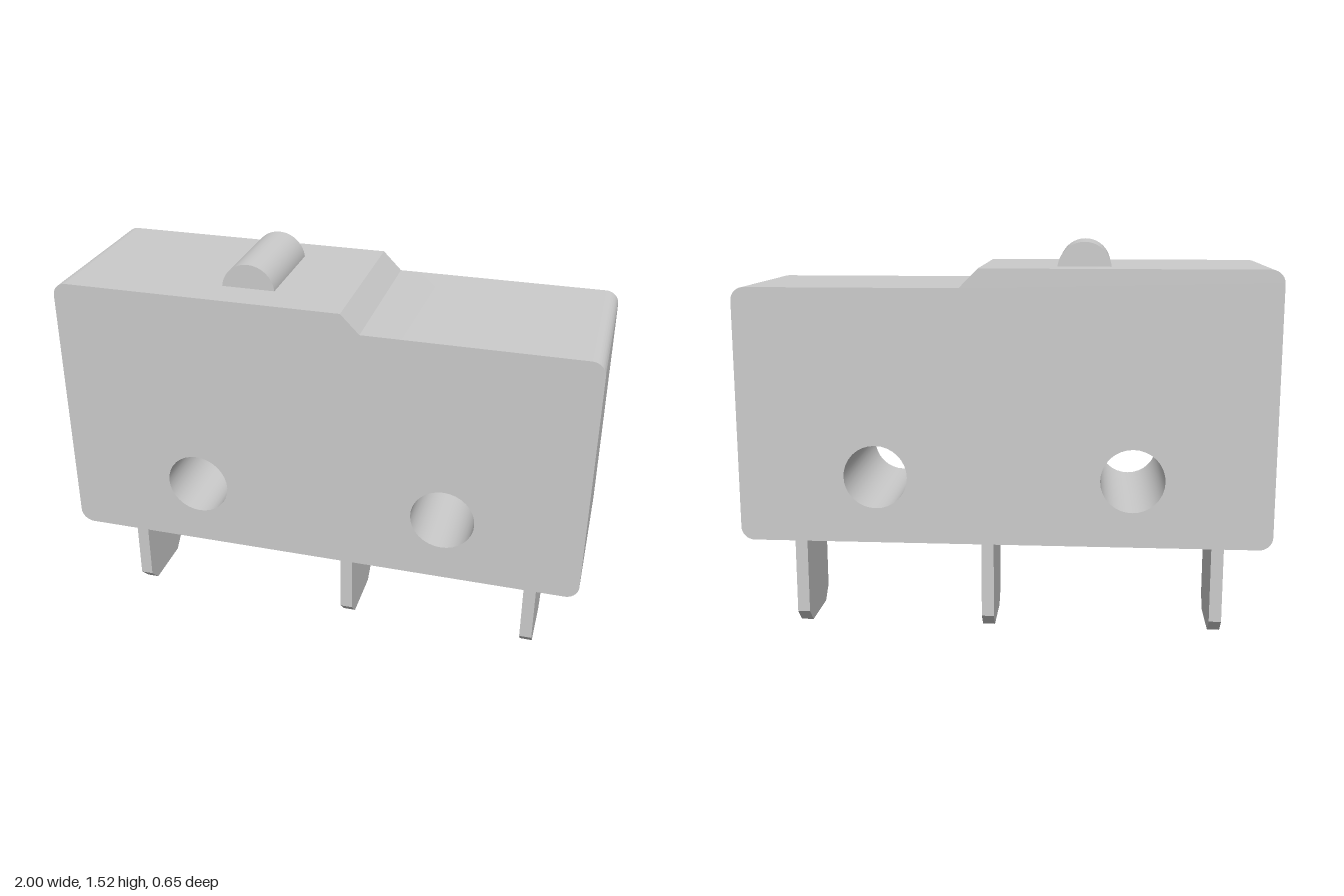
import * as THREE from 'three';
import { toCreasedNormals } from 'three/addons/utils/BufferGeometryUtils.js';

const material = new THREE.MeshStandardMaterial({ color: 0xcccccc });

// Extrude a shape symmetrically about z = 0, smooth on curves and sharp at edges
function slab(name, shape, depth, curveSegments = 12) {
  const geo = new THREE.ExtrudeGeometry(shape, { depth, bevelEnabled: false, curveSegments });
  geo.translate(0, 0, -depth / 2);
  const mesh = new THREE.Mesh(toCreasedNormals(geo, 0.6), material);
  mesh.name = name;
  return mesh;
}

export function createModel() {
  const group = new THREE.Group();
  group.name = 'microSwitch';

  // Housing: rounded corners, stepped top, two through holes
  const bottom = 0.397, top = 1.427, step = 1.356, r = 0.05;
  const outline = new THREE.Shape();
  outline.moveTo(-1 + r, bottom);
  outline.lineTo(1 - r, bottom);
  outline.absarc(1 - r, bottom + r, r, -Math.PI / 2, 0);
  outline.lineTo(1, step - r);
  outline.absarc(1 - r, step - r, r, 0, Math.PI / 2);
  outline.lineTo(0.16, step);
  outline.lineTo(0.09, top);
  outline.lineTo(-1 + r, top);
  outline.absarc(-1 + r, top - r, r, Math.PI / 2, Math.PI);
  outline.lineTo(-1, bottom + r);
  outline.absarc(-1 + r, bottom + r, r, Math.PI, Math.PI * 1.5);
  for (const x of [-0.48, 0.48]) {
    outline.holes.push(new THREE.Path().absarc(x, 0.65, 0.12, 0, Math.PI * 2, true));
  }
  group.add(slab('housing', outline, 0.646, 16));

  // Plunger: half-round bar sitting on the housing
  const dome = new THREE.Shape().absarc(-0.291, 1.417, 0.1, 0, Math.PI);
  group.add(slab('plunger', dome, 0.374, 16));

  // Terminals: thin blades with chamfered tips
  const w = 0.163, c = 0.053;
  const blade = new THREE.Shape([
    [-w, 0.42], [-w, c], [-w + c, 0], [w - c, 0], [w, c], [w, 0.42],
  ].map(([z, y]) => new THREE.Vector2(z, y)));
  for (const [name, x] of [['rightTerminal', -0.817], ['middleTerminal', 0.073], ['leftTerminal', 0.812]]) {
    const terminal = slab(name, blade, 0.048);
    terminal.rotation.y = Math.PI / 2;
    terminal.position.x = x;
    group.add(terminal);
  }
  return group;
}
